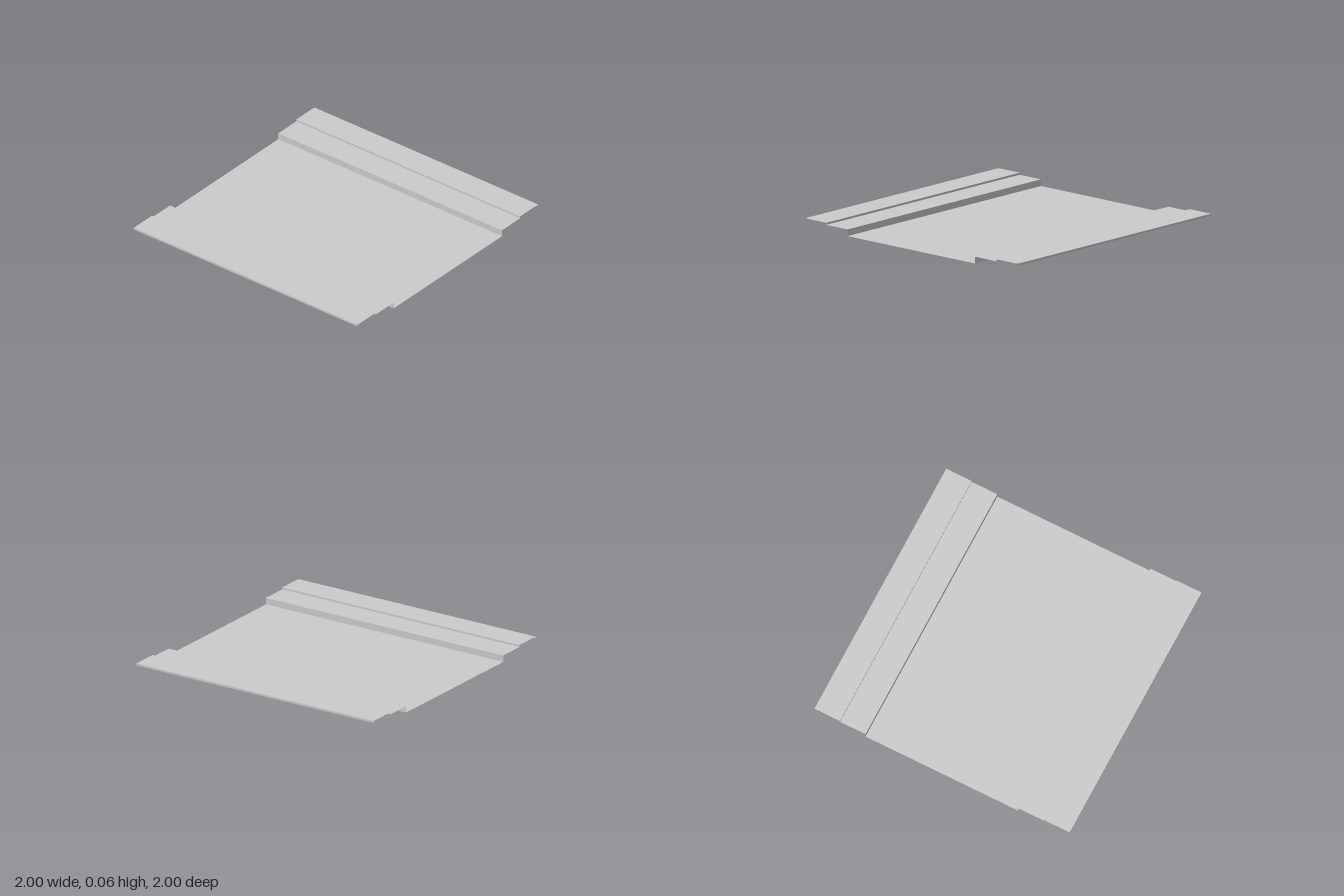
import * as THREE from 'three';

// Half cross-section from the centre outwards: [x, y]
const PROFILE = [
  [0.6, 0], [0.6, 0.048],   // inner riser
  [0.8, 0.048],             // middle ledge
  [0.8, 0.063],             // outer riser
  [1, 0.063],               // outer ledge
  [1, 0.048],               // folded lip
];
const NAMES = ['InnerRiser', 'MiddleLedge', 'OuterRiser', 'OuterLedge', 'Lip'];

const material = new THREE.MeshStandardMaterial({ color: 0xcccccc, side: THREE.DoubleSide });

// Thin sheet spanning z = -1..1 between two profile points, a to the left of b
function strip(name, a, b) {
  const geometry = new THREE.BufferGeometry();
  geometry.setAttribute('position', new THREE.Float32BufferAttribute(
    [...a, 1, ...b, 1, ...b, -1, ...a, -1], 3));
  geometry.setIndex([0, 1, 2, 0, 2, 3]);
  geometry.computeVertexNormals();
  const mesh = new THREE.Mesh(geometry, material);
  mesh.name = name;
  return mesh;
}

export function createModel() {
  const group = new THREE.Group();
  group.name = 'steppedSheet';

  // Wide sunken floor
  group.add(strip('floorPanel', [-0.6, 0], [0.6, 0]));

  // Stepped edges, mirrored left and right
  const mirror = ([x, y]) => [-x, y];
  NAMES.forEach((name, i) => {
    const a = PROFILE[i], b = PROFILE[i + 1];
    group.add(strip('left' + name, a, b));
    group.add(strip('right' + name, mirror(b), mirror(a)));
  });

  return group;
}
